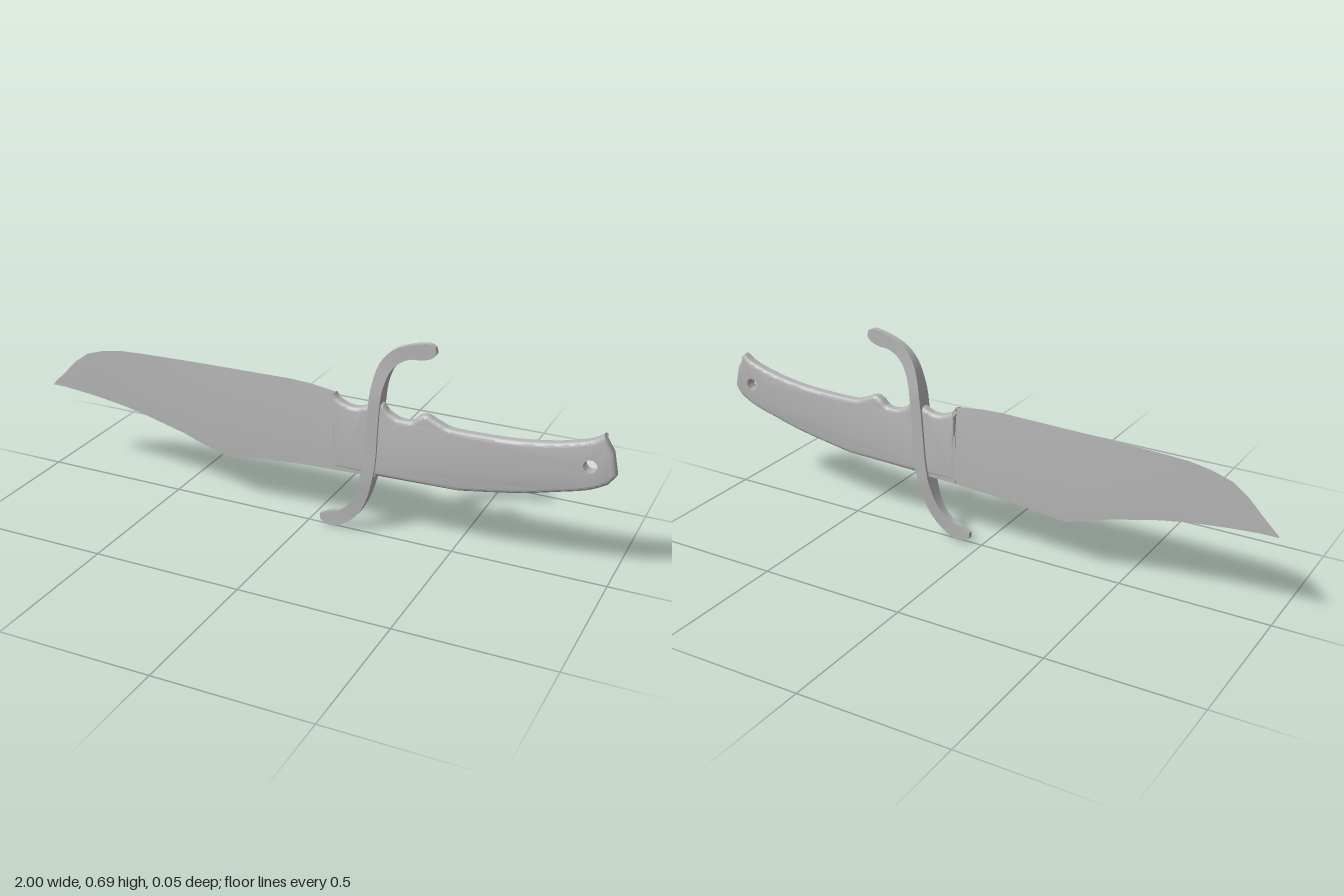
import * as THREE from 'three';
import { toCreasedNormals } from 'three/addons/utils/BufferGeometryUtils.js';

// Closed solid through rings of equal point count, each counterclockwise about the path direction
function loft(rings, crease) {
  const n = rings[0].length, last = (rings.length - 1) * n, index = [];
  for (let i = 0; i < rings.length - 1; i++) {
    for (let j = 0; j < n; j++) {
      const a = i * n + j, b = i * n + (j + 1) % n;
      index.push(a, b, b + n, a, b + n, a + n);
    }
  }
  for (let k = 1; k < n - 1; k++) {
    index.push(0, k + 1, k, last, last + k, last + k + 1);
  }
  const geometry = new THREE.BufferGeometry();
  geometry.setAttribute('position', new THREE.Float32BufferAttribute(rings.flat(2), 3));
  geometry.setIndex(index);
  return toCreasedNormals(geometry, crease);
}

// Blade section: flat spine below, full thickness up to the ridge, bevel to the edge above
function bladeRing(x, top, ridge, bottom, half, edge, z) {
  return [[top, edge], [ridge, half], [bottom, half], [bottom, -half], [ridge, -half], [top, -edge]]
    .map(([y, d]) => [x, y, z + d]);
}

function bladeGeometry() {
  const stations = [ // x, edge height, spine height
    [-1, 0.305, 0.302], [-0.945, 0.358, 0.302], [-0.9, 0.405, 0.299], [-0.847, 0.443, 0.295],
    [-0.78, 0.464, 0.288], [-0.71, 0.476, 0.279], [-0.63, 0.48, 0.265], [-0.47, 0.485, 0.227],
    [-0.32, 0.488, 0.179], [-0.07, 0.492, 0.203], [0, 0.489, 0.208], [0.095, 0.476, 0.212]
  ];
  return loft(stations.map(([x, top, bottom]) => {
    const along = (x + 1) / 1.095;
    const half = x < -0.32
      ? THREE.MathUtils.mapLinear(x, -1, -0.32, 0.002, 0.015)
      : THREE.MathUtils.mapLinear(x, -0.32, 0.095, 0.015, 0.017);
    return bladeRing(x, top, 0.304 + 0.021 * along, bottom, half, 0.0012, -0.01 * (1 - along));
  }), 0.35);
}

// Grip outline with finger notches, rounded edges and a straight lanyard hole
function handleGeometry() {
  const shape = new THREE.Shape();
  shape.moveTo(0.092, 0.22);
  shape.lineTo(0.25, 0.218);
  shape.lineTo(0.516, 0.225);
  shape.splineThru([[0.7, 0.257], [0.82, 0.287], [0.917, 0.315], [0.975, 0.345]].map(p => new THREE.Vector2(...p)));
  shape.lineTo(0.998, 0.378);
  shape.lineTo(0.983, 0.449);
  shape.lineTo(0.95, 0.502);
  shape.splineThru([
    [0.925, 0.484], [0.89, 0.47], [0.81, 0.449], [0.7, 0.433], [0.6, 0.428], [0.49, 0.428], [0.44, 0.444],
    [0.404, 0.459], [0.378, 0.45], [0.356, 0.431], [0.318, 0.428], [0.28, 0.444], [0.255, 0.47],
    [0.225, 0.462], [0.18, 0.444], [0.142, 0.444], [0.105, 0.46], [0.092, 0.476]
  ].map(p => new THREE.Vector2(...p)));
  const cx = 0.92, cy = 0.396, radius = 0.021;
  const hole = new THREE.Path();
  hole.absarc(cx, cy, radius, 0, Math.PI * 2, true);
  shape.holes.push(hole);

  const geometry = new THREE.ExtrudeGeometry(shape, {
    depth: 0.008, curveSegments: 24, bevelEnabled: true,
    bevelThickness: 0.015, bevelSize: 0.014, bevelOffset: -0.014, bevelSegments: 4
  });
  geometry.translate(0, 0, -0.004);
  // Pull the hole wall back to a plain cylinder
  const p = geometry.attributes.position;
  for (let i = 0; i < p.count; i++) {
    const dx = p.getX(i) - cx, dy = p.getY(i) - cy, d = Math.hypot(dx, dy);
    if (d < 0.045) p.setXY(i, cx + dx / d * radius, cy + dy / d * radius);
  }
  return toCreasedNormals(geometry, 0.6);
}

// S-shaped cross guard, thick at the grip and thin at its flared ends
function guardGeometry() {
  const path = new THREE.CatmullRomCurve3([ // x, y, half width
    [0.044, 0.029, 0.01], [0.08, 0.029, 0.027], [0.12, 0.043, 0.024], [0.158, 0.075, 0.022],
    [0.187, 0.123, 0.021], [0.209, 0.193, 0.021], [0.222, 0.273, 0.021], [0.227, 0.358, 0.02],
    [0.233, 0.449, 0.019], [0.243, 0.529, 0.019], [0.265, 0.594, 0.021], [0.297, 0.631, 0.022],
    [0.34, 0.652, 0.022], [0.382, 0.66, 0.026], [0.412, 0.668, 0.021], [0.425, 0.671, 0.01]
  ].map(p => new THREE.Vector3(...p)));
  const rings = [];
  for (let i = 0; i <= 48; i++) {
    const c = path.getPoint(i / 48), t = path.getTangent(i / 48).setZ(0).normalize();
    const reach = Math.max(Math.abs(c.y - 0.345), 0.15);
    const half = THREE.MathUtils.mapLinear(reach, 0.15, 0.345, 0.0275, 0.006);
    rings.push([[1, 1], [-1, 1], [-1, -1], [1, -1]].map(([u, v]) =>
      [c.x - t.y * u * c.z, c.y + t.x * u * c.z, v * half]));
  }
  return loft(rings, 0.6);
}

export function createModel() {
  const steel = new THREE.MeshStandardMaterial({ color: 0xb4b4b4 });
  steel.name = 'grey steel';
  const model = new THREE.Group();
  model.name = 'knife';
  const add = (name, geometry) => {
    const mesh = new THREE.Mesh(geometry, steel);
    mesh.name = name;
    model.add(mesh);
  };
  add('blade', bladeGeometry());
  // Square-edged block joining the blade to the grip
  add('ricasso', loft([
    bladeRing(0.09, 0.38, 0.325, 0.212, 0.0175, 0.0175, 0),
    bladeRing(0.24, 0.38, 0.325, 0.217, 0.0175, 0.0175, 0)
  ], 0.35));
  add('handle', handleGeometry());
  add('guard', guardGeometry());
  return model;
}
